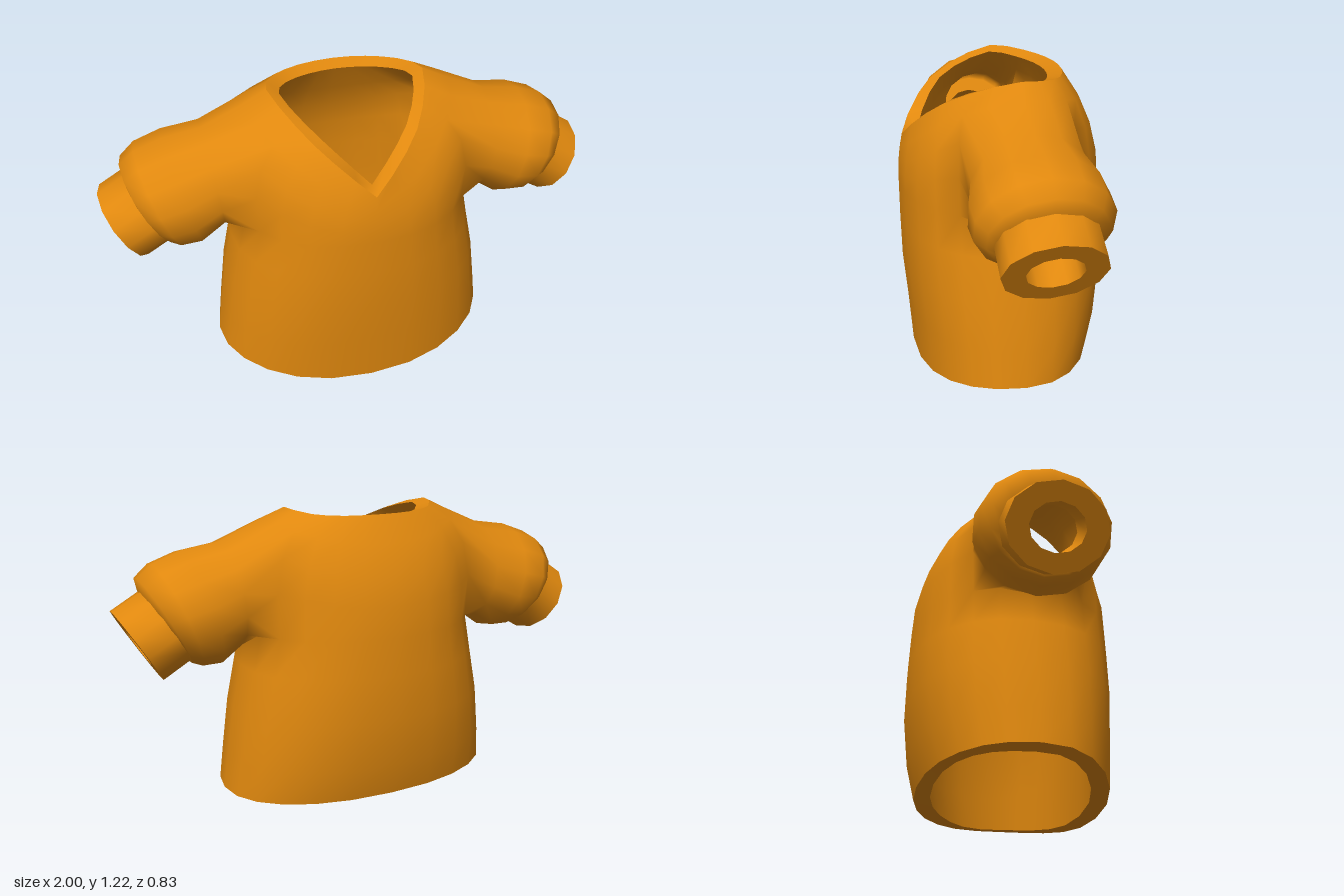
import * as THREE from 'three';

const COLS = 24;          // columns around the body, column 0 is the front
const WALL = 0.07;        // cloth thickness
const V = (x, y, z) => new THREE.Vector3(x, y, z);

// body rings below the armpit: half width, front z, back z, height
const BODY = [
  [0.595, 0.38, -0.355, 0.08],
  [0.575, 0.395, -0.39, 0.22],
  [0.545, 0.412, -0.412, 0.42],
  [0.505, 0.415, -0.41, 0.6],
  [0.475, 0.415, -0.402, 0.75],
];
// neckline from front to back: x, z
const NECK = [
  [0, 0.395], [0.07, 0.36], [0.14, 0.31], [0.2, 0.25], [0.25, 0.165], [0.29, 0.07], [0.315, -0.03],
  [0.3, -0.1], [0.255, -0.165], [0.2, -0.205], [0.14, -0.23], [0.07, -0.245], [0, -0.25],
];
// sleeve sections: top x, y, bottom x, y, half depth
const SLEEVE = [
  [0.58, 1.108, 0.53, 0.7, 0.228],
  [0.73, 1.085, 0.615, 0.64, 0.257],
  [0.84, 1.045, 0.69, 0.64, 0.252],
  [0.9, 0.995, 0.725, 0.655, 0.215],
  [0.89, 0.935, 0.73, 0.675, 0.18],
];
const CUFF_START = [0.89, 0.942, 0.725, 0.667, 0.187];
const CUFF_END = [1.0, 0.878, 0.835, 0.602, 0.187];
// armhole border as [row, column], from the top towards the front
const ARMHOLE = [
  [7, 6], [7, 5], [7, 4], [6, 4], [5, 4], [4, 4], [4, 5],
  [4, 6], [4, 7], [4, 8], [5, 8], [6, 8], [7, 8], [7, 7],
];

// slightly squared oval; the hem dips at the front
function bodyRing([w, front, back, y], row) {
  const square = (v) => Math.sign(v) * Math.abs(v) ** 0.9;
  return Array.from({ length: COLS }, (_, c) => {
    const a = (c / COLS) * Math.PI * 2, k = square(Math.cos(a));
    const dip = row === 0 ? 0.08 * Math.max(0, k) ** 2.6 : 0;
    return V(w * square(Math.sin(a)), y - dip, k > 0 ? k * front : -k * back);
  });
}

function neckRing() {
  return Array.from({ length: COLS }, (_, c) => {
    const i = c > 12 ? COLS - c : c, [x, z] = NECK[i];
    const y = i <= 6 ? 0.95 + 0.873 * x : 1.205 + 0.02 * (x / 0.315) ** 6;
    return V(c > 12 ? -x : x, y, z);
  });
}

// oval ring around a sleeve; side is 1 for left, -1 for right
function sleeveRing([tx, ty, bx, by, hz], n, side, scale = 1) {
  return Array.from({ length: n }, (_, i) => {
    const a = (side * i * Math.PI * 2) / n, k = Math.cos(a) * scale / 2;
    return V(side * ((tx + bx) / 2 + (tx - bx) * k), (ty + by) / 2 + (ty - by) * k,
      -0.016 + hz * scale * Math.sin(a));
  });
}

function toGeometry(points, index) {
  const g = new THREE.BufferGeometry().setFromPoints(points);
  g.setIndex(index);
  g.computeVertexNormals();
  return g;
}

// closed band between two rings
function band(a, b) {
  const n = a.length, index = [];
  for (let i = 0; i < n; i++) {
    const j = (i + 1) % n;
    index.push(i, j, n + j, i, n + j, n + i);
  }
  return toGeometry([...a, ...b], index);
}

export function createModel() {
  const group = new THREE.Group();
  const cloth = new THREE.MeshStandardMaterial({ color: 0xe0880e });
  cloth.name = 'orangeCloth';
  const add = (name, geometry, parent = group) => {
    const mesh = new THREE.Mesh(geometry, cloth);
    mesh.name = name;
    parent.add(mesh);
  };

  // body rows, then shoulder rows curving in to the neckline
  const rows = BODY.map(bodyRing), chest = rows[4], neck = neckRing();
  for (const t of [0.25, 0.5, 0.75, 1]) {
    rows.push(chest.map((p, c) => {
      const a = (c / COLS) * Math.PI * 2, s = Math.sin(a) ** 2, k = Math.cos(a);
      const bulge = 1 + 0.18 * s ** 2;
      const control = V(p.x * bulge, 1.18 * s + (k > 0 ? 0.85 : 1.0) * (1 - s), p.z * bulge);
      return new THREE.QuadraticBezierCurve3(p, control, neck[c]).getPoint(t);
    }));
  }
  const points = rows.flat(), index = [];
  const quad = (a, b, c, d) => index.push(a, b, c, a, c, d);
  for (let r = 0; r < rows.length - 1; r++) {
    for (let c = 0; c < COLS; c++) {
      const m = c >= 12 ? COLS - 1 - c : c;
      if (r >= 4 && r < 7 && m >= 4 && m < 8) continue;   // armhole
      const d = (c + 1) % COLS;
      quad(r * COLS + c, r * COLS + d, (r + 1) * COLS + d, (r + 1) * COLS + c);
    }
  }

  // puffed sleeves grow from the armhole borders
  const n = ARMHOLE.length;
  for (const side of [1, -1]) {
    let previous = ARMHOLE.map((_, i) => {
      const [r, c] = ARMHOLE[side > 0 ? i : (n - i) % n];
      return r * COLS + (side > 0 ? c : COLS - c);
    });
    for (const section of SLEEVE) {
      const start = points.length;
      points.push(...sleeveRing(section, n, side));
      const next = previous.map((_, i) => start + i);
      for (let i = 0; i < n; i++) {
        const j = (i + 1) % n;
        quad(previous[i], previous[j], next[j], next[i]);
      }
      previous = next;
    }
  }
  const outer = toGeometry(points, index);
  add('shirtOutside', outer);

  // lining: the same surface moved inwards and turned over
  const normals = outer.attributes.normal, neckStart = 8 * COLS;
  const lining = points.map((p, i) => {
    if (i >= neckStart && i < neckStart + COLS) {
      const lift = -0.018 + 0.033 * THREE.MathUtils.smoothstep(p.z, -0.03, 0.4);
      return V(p.x * 0.85, p.y + lift, 0.06 + (p.z - 0.06) * 0.81);
    }
    return V().fromBufferAttribute(normals, i).multiplyScalar(-WALL).add(p);
  });
  const flipped = [];
  for (let i = 0; i < index.length; i += 3) flipped.push(index[i], index[i + 2], index[i + 1]);
  add('shirtLining', toGeometry(lining, flipped));

  // flat edges of the cloth
  add('hemEdge', band(lining.slice(0, COLS), points.slice(0, COLS)));
  add('necklineEdge', band(points.slice(neckStart, neckStart + COLS), lining.slice(neckStart, neckStart + COLS)));

  // cuffs: thick tubes with a narrow opening
  for (const side of [1, -1]) {
    const cuff = new THREE.Group();
    cuff.name = side > 0 ? 'leftCuff' : 'rightCuff';
    const ring = (section, scale) => sleeveRing(section, 12, side, scale);
    const loop = [ring(CUFF_START, 1), ring(CUFF_END, 1), ring(CUFF_END, 0.55), ring(CUFF_START, 0.55)];
    ['cuffOutside', 'cuffEnd', 'cuffOpening', 'cuffBack'].forEach((name, i) =>
      add(name, band(loop[i], loop[(i + 1) % 4]), cuff));
    group.add(cuff);
  }
  return group;
}
